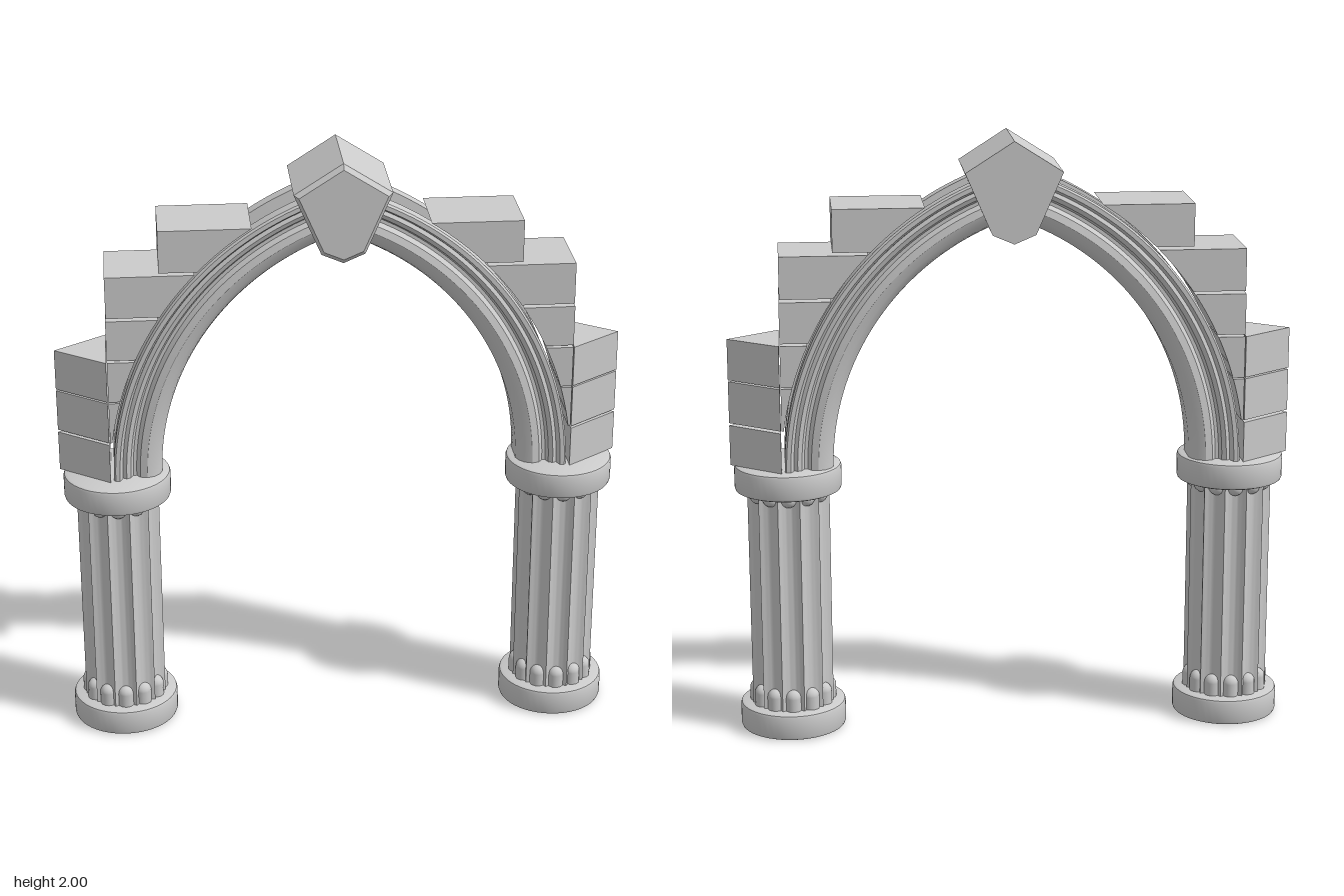
import * as THREE from 'three';
import { toCreasedNormals } from 'three/addons/utils/BufferGeometryUtils.js';

const material = new THREE.MeshStandardMaterial({ color: 0xcccccc });
const SPRING = 0.92;   // height where the arch springs from the capitals
const OFFSET = 0.27;   // each arc is centred this far past the middle
const INNER = 0.86, OUTER = 1.02;
const DEPTH = 0.245, MID_Z = -0.02;

function part(geometry, name, parent, x = 0, y = 0, z = 0) {
  const mesh = new THREE.Mesh(geometry, material);
  mesh.name = name;
  mesh.position.set(x, y, z);
  parent.add(mesh);
  return mesh;
}

const polygon = pts => new THREE.Shape(pts.map(p => new THREE.Vector2(...p)));

// Round slab with softened rims
function slab(radius, height) {
  const b = 0.012;
  const pts = [[0, 0], [radius - b, 0], [radius - 0.003, 0.004], [radius, b],
    [radius, height - b], [radius - 0.003, height - 0.004], [radius - b, height], [0, height]];
  return toCreasedNormals(new THREE.LatheGeometry(pts.map(p => new THREE.Vector2(...p)), 48), 0.6);
}

// Shaft with twelve concave flutes
function flutedShaft(height) {
  const pts = [], flutes = 12, steps = 10;
  for (let i = 0; i < flutes * steps; i++) {
    const t = (i % steps) / steps * 2 - 1;
    const dip = Math.abs(t) < 0.85 ? 0.02 * Math.sqrt(1 - (t / 0.85) ** 2) : 0;
    const a = (i / steps - 0.5) * Math.PI * 2 / flutes;
    pts.push([(0.14 - dip) * Math.cos(a), (0.14 - dip) * Math.sin(a)]);
  }
  const g = new THREE.ExtrudeGeometry(polygon(pts), { depth: height, bevelEnabled: false });
  g.rotateX(-Math.PI / 2);
  return toCreasedNormals(g, 0.6);
}

function column(x) {
  const group = new THREE.Group();
  group.name = 'column';
  group.position.x = x;
  part(slab(0.177, 0.09), 'columnBase', group);
  part(flutedShaft(0.76), 'columnShaft', group, 0, 0.08);
  part(slab(0.177, 0.09), 'capital', group, 0, 0.83);
  // Rounded stops at the foot and head of each flute
  const foot = new THREE.CapsuleGeometry(0.028, 0.06, 6, 12);
  const head = new THREE.SphereGeometry(0.028, 12, 8);
  for (let i = 0; i < 12; i++) {
    const a = i * Math.PI / 6, px = 0.117 * Math.cos(a), pz = 0.117 * Math.sin(a);
    part(foot, 'fluteFoot', group, px, 0.103, pz);
    part(head, 'fluteHead', group, px, 0.825, pz);
  }
  return group;
}

// Moulded rib: a symmetric section turned about the arc centre
function archRib() {
  const half = [[0, 0.045], [0.008, 0.066], [0.025, 0.085], [0.05, 0.094], [0.073, 0.088],
    [0.085, 0.072], [0.096, 0.072], [0.104, 0.09], [0.118, 0.097], [0.13, 0.09],
    [0.133, 0.1], [0.14, 0.114], [0.154, 0.114], [0.16, 0.106], [0.16, 0.055], [0.115, 0.05]];
  const section = [...half.map(([r, z]) => [r, -z]), ...half.slice().reverse(), [0, -0.045]];
  const g = new THREE.LatheGeometry(
    section.map(([r, z]) => new THREE.Vector2(INNER + r, z)), 40, Math.PI / 2, 1.28);
  g.rotateX(Math.PI / 2);
  return toCreasedNormals(g, 0.6);
}

// Stone whose inner edge follows the back of the rib
function wallBlock(y0, y1, outerX) {
  const pts = [[outerX, y0], [outerX, y1]];
  for (let i = 0; i <= 8; i++) {
    const y = y1 + (y0 - y1) * i / 8;
    const x = Math.sqrt((OUTER + 0.01) ** 2 - (y - SPRING) ** 2) - OFFSET;
    pts.push([Math.min(x, outerX - 0.002), y]);
  }
  const g = new THREE.ExtrudeGeometry(polygon(pts), { depth: DEPTH, bevelEnabled: false });
  return g.translate(0, 0, -DEPTH / 2);
}

// Three-cornered stone at the outer flank
function flankBlock(height) {
  const g = new THREE.ExtrudeGeometry(
    polygon([[0.76, -DEPTH / 2], [0.928, 0], [0.76, DEPTH / 2]]), { depth: height, bevelEnabled: false });
  return g.rotateX(-Math.PI / 2);
}

function halfArch(turn) {
  const group = new THREE.Group();
  group.name = 'halfArch';
  group.position.z = MID_Z;
  group.rotation.y = turn;
  part(archRib(), 'archRib', group, -OFFSET, SPRING);
  for (const [y0, y1] of [[0.92, 1.055], [1.063, 1.203], [1.208, 1.345]]) {
    part(flankBlock(y1 - y0), 'flankBlock', group, 0, y0);
  }
  for (const [y0, y1, x] of [[1.063, 1.203, 0.757], [1.208, 1.345, 0.757], [1.353, 1.488, 0.757],
    [1.498, 1.637, 0.755], [1.647, 1.787, 0.583]]) {
    part(wallBlock(y0, y1, x), 'wallBlock', group);
  }
  return group;
}

// Five-sided keystone with a chamfered front
function keystone() {
  const shape = polygon([[0, -0.16], [0.07, -0.13], [0.157, 0.07], [0, 0.17], [-0.157, 0.07], [-0.07, -0.13]]);
  const g = new THREE.ExtrudeGeometry(shape, { depth: 2, steps: 2, bevelEnabled: false });
  const p = g.attributes.position;
  for (let i = 0; i < p.count; i++) {
    const level = Math.round(p.getZ(i));
    const s = level === 2 ? 0.9 : 1;
    p.setXYZ(i, p.getX(i) * s, p.getY(i) * s, [-0.175, 0.122, 0.137][level]);
  }
  const flat = g.index ? g.toNonIndexed() : g;
  flat.computeVertexNormals();
  return flat;
}

export function createModel() {
  const model = new THREE.Group();
  model.name = 'archway';
  for (const side of [1, -1]) model.add(column(side * 0.74));
  model.add(halfArch(0), halfArch(Math.PI));
  part(keystone(), 'keystone', model, 0.003, 1.83);
  return model;
}
